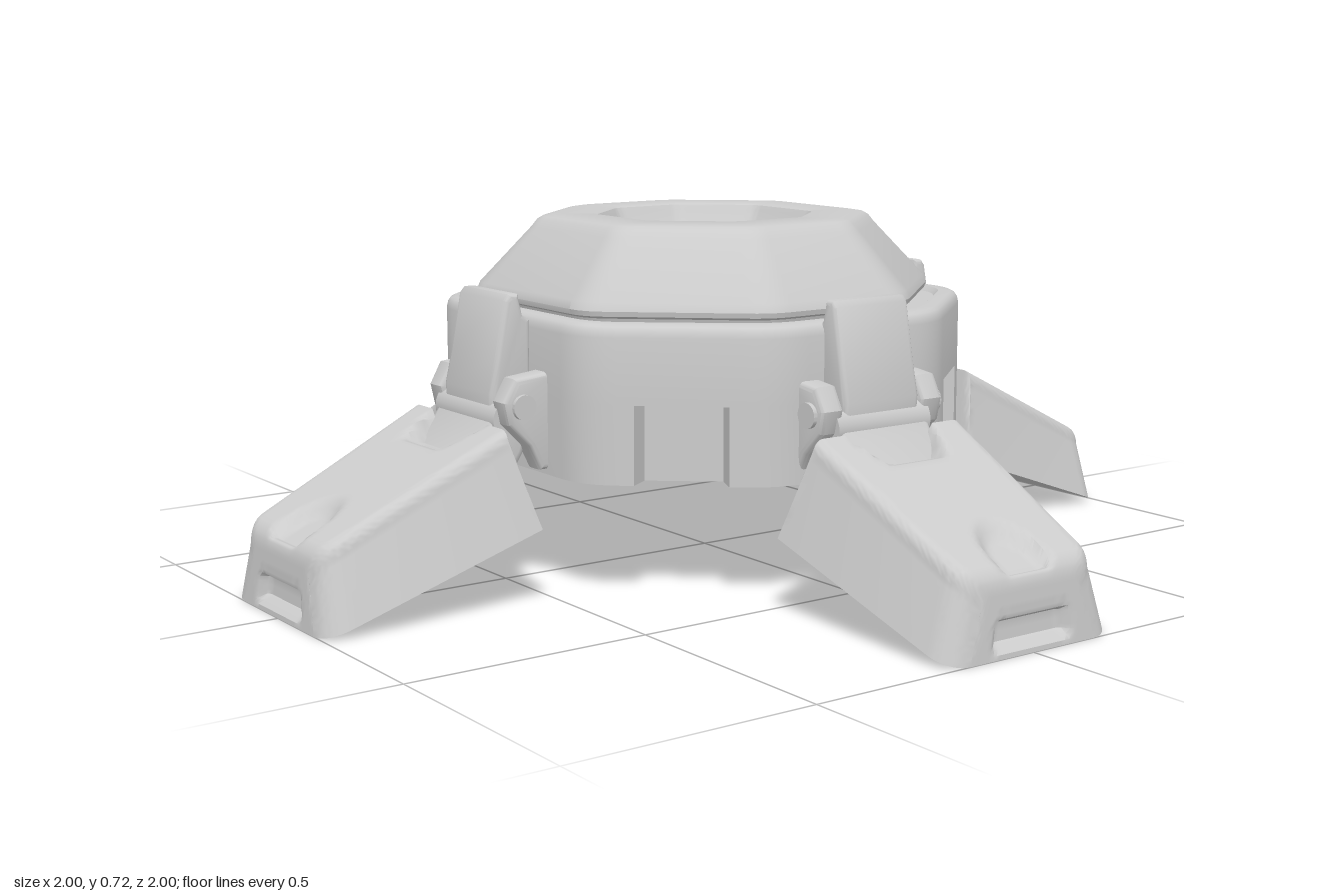
import * as THREE from 'three';
import { toCreasedNormals } from 'three/addons/utils/BufferGeometryUtils.js';

const grey = new THREE.MeshStandardMaterial({ color: 0xcccccc });

function part(geometry, name, crease = 0.6) {
  const mesh = new THREE.Mesh(toCreasedNormals(geometry, crease), grey);
  mesh.name = name;
  return mesh;
}

// Octagon with rounded corners; optional notches in the four diagonal sides
function octagon(ax, az, bx, bz, r, notchDepth = 0) {
  const c = [[ax, az], [bx, bz], [-bx, bz], [-ax, az], [-ax, -az], [-bx, -bz], [bx, -bz], [ax, -az]]
    .map(([x, y]) => new THREE.Vector2(x, y));
  const shape = new THREE.Shape();
  c.forEach((p, i) => {
    const next = c[(i + 1) % 8], prev = c[(i + 7) % 8];
    const a = p.clone().add(prev.clone().sub(p).setLength(r));
    const b = p.clone().add(next.clone().sub(p).setLength(r));
    if (i === 0) shape.moveTo(a.x, a.y); else shape.lineTo(a.x, a.y);
    shape.quadraticCurveTo(p.x, p.y, b.x, b.y);
    if (notchDepth && i % 2 === 0) {
      const dir = next.clone().sub(p).normalize();
      const inward = new THREE.Vector2(-dir.y, dir.x).multiplyScalar(notchDepth);
      const mirrored = i === 2 || i === 6;
      const [t0, t1] = mirrored ? [0.26, 0.74] : [0.27, 0.75];
      const q0 = p.clone().lerp(next, t0), q1 = p.clone().lerp(next, t1);
      const d = dir.multiplyScalar(0.015);
      for (const q of [q0, q0.clone().add(inward).add(d), q1.clone().add(inward).sub(d), q1]) shape.lineTo(q.x, q.y);
    }
  });
  shape.closePath();
  return shape;
}

// Skin an outline through rings of [scale, y], from bottom to top
function loft(shape, rings) {
  const pts = shape.getPoints(6);
  if (pts[0].distanceTo(pts[pts.length - 1]) < 1e-6) pts.pop();
  const n = pts.length, pos = [], idx = [];
  rings.forEach(([s, y], j) => pts.forEach((p, i) => {
    pos.push(p.x * s, y, -p.y * s);
    if (j === rings.length - 1) return;
    const a = j * n + i, b = j * n + (i + 1) % n;
    idx.push(a, b, b + n, a, b + n, a + n);
  }));
  const g = new THREE.BufferGeometry();
  g.setAttribute('position', new THREE.Float32BufferAttribute(pos, 3));
  g.setIndex(idx);
  return g;
}

// Profile of [z, y] points extruded along x, centred on x
function slab(profile, width, bevel, x = 0) {
  const shape = new THREE.Shape(profile.map(([z, y]) => new THREE.Vector2(-z, y)));
  const depth = width - 2 * bevel;
  const g = new THREE.ExtrudeGeometry(shape, {
    depth, bevelThickness: bevel, bevelSize: bevel, bevelOffset: -bevel, bevelSegments: 3,
  });
  return g.translate(0, 0, -depth / 2).rotateY(Math.PI / 2).translate(x, 0, 0);
}

const lerp = THREE.MathUtils.lerp;
const step = THREE.MathUtils.smoothstep;
const roundOff = (d, r) => (d >= r ? 0 : r - Math.sqrt(r * r - (r - d) * (r - d)));

// Tapered foot, a box reshaped by a rule, with a hinge notch, a scoop and an end slot
function footGeometry() {
  const g = new THREE.BoxGeometry(2, 1, 1, 40, 14, 40).translate(0, 0.5, 0.5);
  const p = g.attributes.position;
  for (let i = 0; i < p.count; i++) {
    const u = Math.sin(p.getX(i) * Math.PI / 2), v = p.getY(i);
    const w = lerp(p.getZ(i), Math.sin(p.getZ(i) * Math.PI / 2), 0.75);
    const zTop = lerp(0.6, 0.995, w);
    const half = lerp(0.235, 0.205, w) - roundOff((1 - w) * 0.43, 0.05);
    const x0 = u * half;
    // Upper surface, rounded along its sides and outer end
    let top = lerp(0.345, 0.155, w);
    top -= roundOff((1 - Math.abs(u)) * half, 0.03) + roundOff((1 - w) * 0.43, 0.03);
    const flare = 0.075 + 0.025 * (1 - step(zTop, 0.6, 0.68));
    const notch = (1 - step(Math.abs(x0), flare, flare + 0.035)) * (1 - step(zTop, 0.665, 0.7));
    top -= notch * Math.max(0, top - 0.285);
    const scoop = Math.hypot(x0 / 0.085, Math.max(0, 0.96 - zTop) / 0.1);
    top -= 0.025 * (1 - step(scoop, 0.65, 1)) * (1 - step(zTop, 0.97, 0.995));
    const y = lerp(lerp(0.155, 0, w), top, v);
    let z = lerp(lerp(0.555, 0.6, v), lerp(1, 0.992, v), w);
    // Slot in the outer end
    if (p.getZ(i) > 0.999) {
      z -= 0.022 * (1 - step(Math.abs(x0), 0.085, 0.105)) * step(y, 0.012, 0.025) * (1 - step(y, 0.06, 0.075));
    }
    p.setXYZ(i, x0 * (1 - 0.2 * v), y, z);
  }
  return g;
}

function createLeg() {
  const leg = new THREE.Group();
  leg.add(part(footGeometry(), 'foot', 0.75));
  // Clasp plate against the body
  leg.add(part(slab([[0.49, 0.365], [0.58, 0.365], [0.582, 0.4], [0.566, 0.47], [0.545, 0.58],
    [0.535, 0.592], [0.515, 0.592], [0.505, 0.55], [0.49, 0.54]], 0.185, 0.01), 'claspPlate'));
  // Hinge ears on both sides of the plate
  for (const side of [-1, 1]) {
    leg.add(part(slab([[0.47, 0.25], [0.505, 0.25], [0.53, 0.3], [0.575, 0.345], [0.585, 0.39],
      [0.56, 0.435], [0.47, 0.445]], 0.055, 0.012, side * 0.125), 'hingeEar'));
    const pin = part(new THREE.CylinderGeometry(0.025, 0.025, 0.012, 20).rotateZ(Math.PI / 2), 'hingePin');
    pin.position.set(side * 0.155, 0.38, 0.545);
    leg.add(pin);
  }
  // Knuckle and arm reaching into the foot
  const knuckle = part(new THREE.CylinderGeometry(0.045, 0.045, 0.23, 24).rotateZ(Math.PI / 2), 'knuckle');
  knuckle.position.set(0, 0.35, 0.545);
  leg.add(knuckle);
  leg.add(part(slab([[0.5, 0.35], [0.52, 0.28], [0.56, 0.215], [0.64, 0.19], [0.66, 0.265],
    [0.6, 0.33], [0.57, 0.38]], 0.23, 0.015), 'hingeArm'));
  return leg;
}

export function createModel() {
  const model = new THREE.Group();
  model.name = 'fourLeggedPod';

  // Body: notched lower part and smooth upper part
  const lower = new THREE.ExtrudeGeometry(octagon(0.49, 0.27, 0.2, 0.515, 0.07, 0.05),
    { depth: 0.155, bevelEnabled: false, curveSegments: 6 });
  model.add(part(lower.rotateX(-Math.PI / 2).translate(0, 0.24, 0), 'lowerBody'));
  model.add(part(loft(octagon(0.49, 0.27, 0.2, 0.515, 0.07), [[0.8, 0.395], [1, 0.395], [1, 0.525],
    [0.995, 0.537], [0.985, 0.545], [0.97, 0.549], [0.92, 0.55], [0.9, 0.54], [0, 0.54]]), 'upperBody'));

  // Lid with a sunken centre
  model.add(part(loft(octagon(0.445, 0.21, 0.17, 0.455, 0.045), [[0.96, 0.535], [0.97, 0.55], [0.995, 0.555],
    [1, 0.565], [0.985, 0.582], [0.76, 0.695], [0.735, 0.71], [0.71, 0.717], [0.67, 0.72], [0.49, 0.72],
    [0.475, 0.717], [0.463, 0.707], [0.385, 0.635], [0.365, 0.627], [0.34, 0.625], [0, 0.625]]), 'lid'));

  // Four small buttons in the sunken centre
  for (const x of [-0.073, 0.073]) for (const z of [-0.052, 0.052]) {
    const button = part(new THREE.CylinderGeometry(0.03, 0.03, 0.012, 24), 'button');
    button.position.set(x, 0.627, z);
    model.add(button);
  }

  // Four legs around the body
  ['frontLeg', 'leftLeg', 'backLeg', 'rightLeg'].forEach((name, i) => {
    const leg = createLeg();
    leg.name = name;
    leg.rotation.y = i * Math.PI / 2;
    model.add(leg);
  });
  return model;
}
